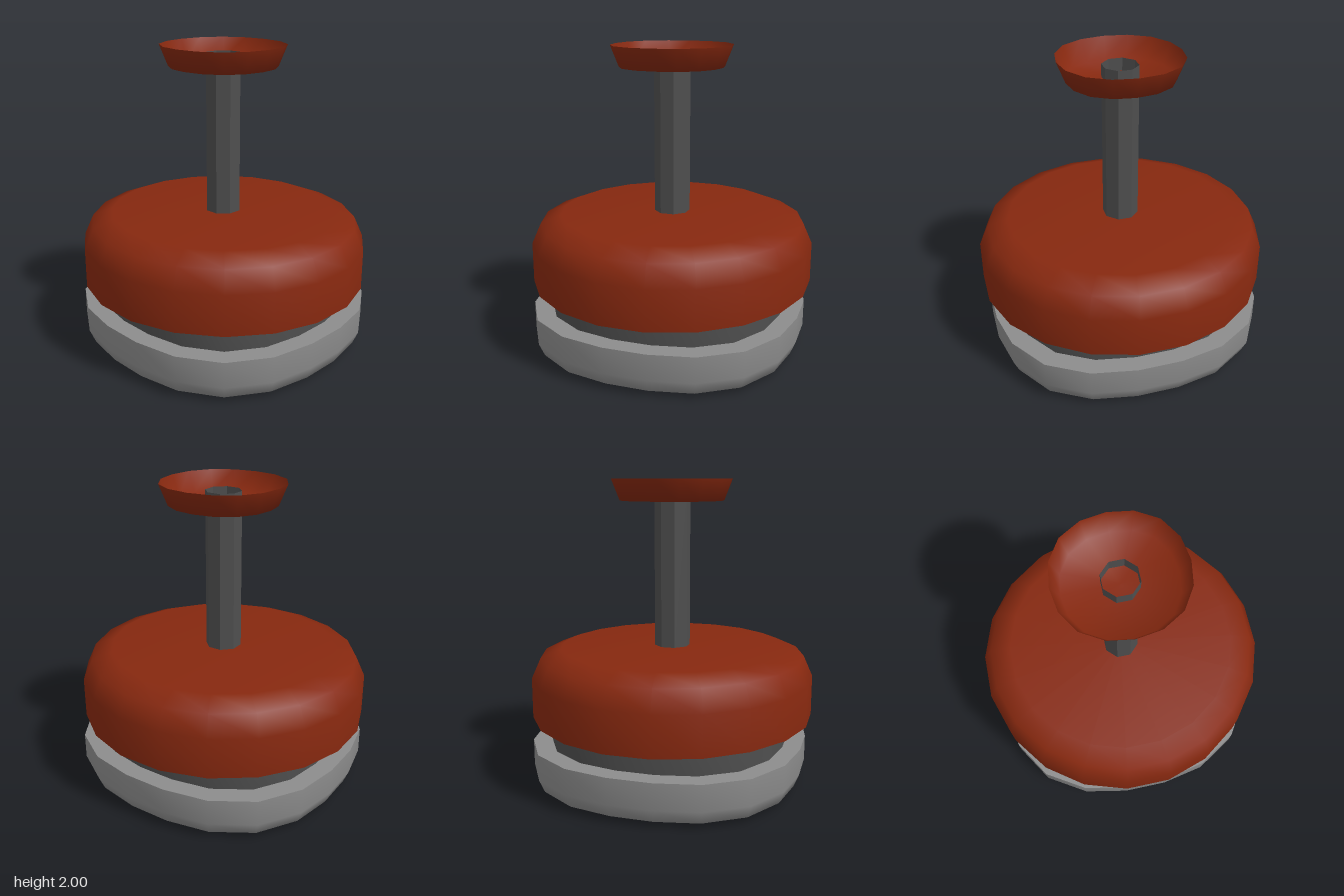
import * as THREE from 'three';
import { mergeVertices } from 'three/addons/utils/BufferGeometryUtils.js';

const red = new THREE.MeshStandardMaterial({ color: 0x86280f, side: THREE.DoubleSide });
red.name = 'red';
const lightGrey = new THREE.MeshStandardMaterial({ color: 0x8c8c8c });
lightGrey.name = 'light grey';
const darkGrey = new THREE.MeshStandardMaterial({ color: 0x4e4e4e, side: THREE.DoubleSide });
darkGrey.name = 'dark grey';

// Smooth turned part: bulges on the diagonals by k, slightly narrower in z
function turned(name, profile, material, { sides = 20, start = Math.PI / 20, k = 0, zScale = 0.976 } = {}) {
  const lathe = new THREE.LatheGeometry(profile.map(([r, y]) => new THREE.Vector2(r, y)), sides, start);
  lathe.deleteAttribute('uv');
  lathe.deleteAttribute('normal');
  const p = lathe.attributes.position;
  for (let i = 0; i < p.count; i++) {
    const x = p.getX(i), z = p.getZ(i);
    const f = 1 + k * Math.sin(2 * Math.atan2(x, z)) ** 2;
    p.setX(i, x * f);
    p.setZ(i, z * f * zScale);
  }
  const geometry = mergeVertices(lathe, 1e-4);
  geometry.computeVertexNormals();
  const mesh = new THREE.Mesh(geometry, material);
  mesh.name = name;
  return mesh;
}

export function createModel() {
  const group = new THREE.Group();
  group.name = 'plunger';
  const squarish = { k: 0.07, zScale: 0.978 };

  // Base with rounded lower edge and a flat upper ledge
  group.add(
    turned('base', [[0, 0], [0.8, 0], [0.885, 0.035], [0.92, 0.12], [0.92, 0.29]], lightGrey, squarish),
    turned('baseLedge', [[0.92, 0.29], [0.78, 0.29]], lightGrey, squarish),
  );

  // Recessed neck between base and cap
  group.add(turned('neck', [[0.8, 0.28], [0.8, 0.45]], darkGrey, squarish));

  // Cap with rounded upper edge and flat underside
  group.add(
    turned('cap', [[0.962, 0.447], [0.962, 0.71], [0.9, 0.845], [0.76, 0.9], [0, 0.9]], red),
    turned('capUnderside', [[0.7, 0.447], [0.962, 0.447]], red),
  );

  // Hollow eight-sided shaft that pokes up into the dish
  const tube = new THREE.CylinderGeometry(0.118, 0.118, 1.07, 8, 1, true, Math.PI / 8).toNonIndexed();
  tube.computeVertexNormals();
  const shaft = new THREE.Mesh(tube, darkGrey);
  shaft.name = 'shaft';
  shaft.position.y = 1.41;
  group.add(shaft);

  // Shallow open dish on top
  group.add(turned('dish', [[0, 1.86], [0.345, 1.86], [0.4, 2]], red, { sides: 16, start: 0, k: 0.035 }));

  return group;
}
